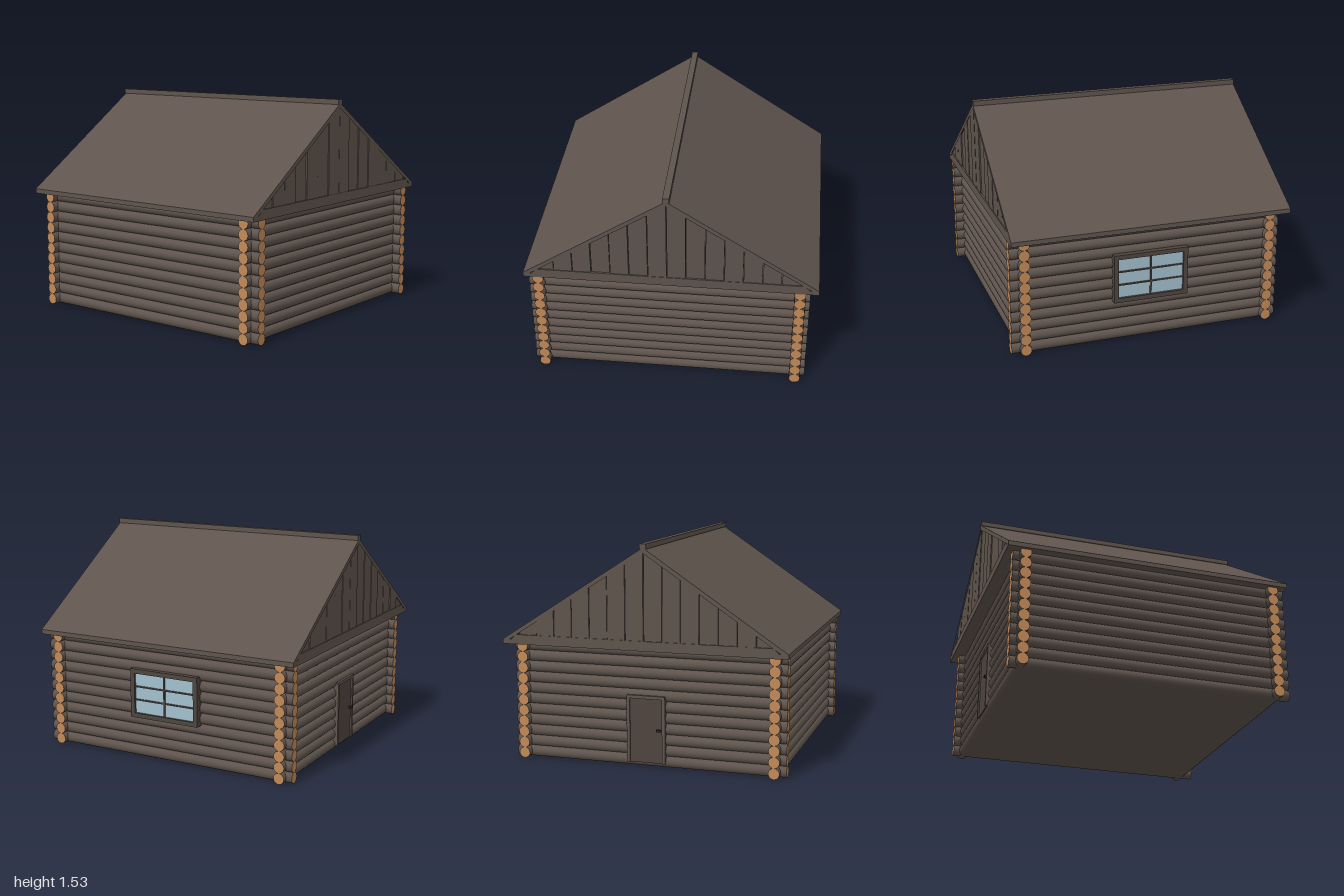
import * as THREE from 'three';

const mat = (name, color, opts = {}) => new THREE.MeshStandardMaterial({ name, color, ...opts });

// Extrudes a [z, y] outline along x from x0 to x1
function extrudeX(points, x0, x1, hole) {
  const toV = ([z, y]) => new THREE.Vector2(-z, y);
  const shape = new THREE.Shape(points.map(toV));
  if (hole) shape.holes.push(new THREE.Path(hole.map(toV)));
  const g = new THREE.ExtrudeGeometry(shape, { depth: x1 - x0, bevelEnabled: false });
  return g.rotateY(Math.PI / 2).translate(x0, 0, 0);
}

export function createModel() {
  const wood = mat('dark wood', 0x5f544d);
  const endGrain = mat('cut log end', 0xc28a58);
  const trim = mat('trim', 0x4f453f);
  const glass = mat('glass', 0xa2c0ce);
  const metal = mat('handle', 0x2c2826);

  const model = new THREE.Group();
  model.name = 'logCabin';
  const add = (parent, name, geometry, material) => {
    const m = new THREE.Mesh(geometry, material);
    m.name = name;
    parent.add(m);
    return m;
  };
  const box = (parent, name, material, w, h, d, x, y, z) =>
    add(parent, name, new THREE.BoxGeometry(w, h, d).translate(x, y, z), material);
  const group = (name) => {
    const g = new THREE.Group();
    g.name = name;
    model.add(g);
    return g;
  };

  // Log walls, crossing at the corners
  const X0 = -0.865, X1 = 0.892, Z0 = -0.876, Z1 = 0.902;
  const R = 0.0385, STEP = 0.0755, ROWS = 11;
  const logX = new THREE.CylinderGeometry(R, R, 1.93, 16).rotateZ(Math.PI / 2);
  const logZ = new THREE.CylinderGeometry(R, R, 1.924, 16).rotateX(Math.PI / 2);
  const logMats = [wood, endGrain, endGrain];
  const walls = group('logWalls');
  for (let i = 0; i < ROWS; i++) {
    const y = 0.039 + i * STEP;
    add(walls, 'frontLog', logX, logMats).position.set(0.02, y, Z1);
    add(walls, 'backLog', logX, logMats).position.set(0.02, y, Z0);
    add(walls, 'leftLog', logZ, logMats).position.set(X1, y, 0.016);
    add(walls, 'rightLog', logZ, logMats).position.set(X0, y, 0.016);
  }

  // Floor
  box(model, 'floor', wood, X1 - X0, 0.03, Z1 - Z0, (X0 + X1) / 2, 0.017, (Z0 + Z1) / 2);

  // Roof: two slopes, eaves and soffit in one hollow section, with a ridge board
  const RIDGE = 0.02, TOP = 1.5, EAVE = 0.845, BASE = 0.813;
  const roof = group('roof');
  const inner = [[0.95, EAVE], [RIDGE, TOP - 0.035], [-0.95, EAVE]];
  add(roof, 'roofShell', extrudeX(
    [[1, BASE], [1, EAVE], [RIDGE, TOP], [-1, EAVE], [-1, BASE]], -0.99, 0.99, inner), wood);
  box(roof, 'ridgeBoard', wood, 1.98, 0.035, 0.045, 0, 1.508, RIDGE);

  // Gable planks with slightly uneven depth over a bottom board
  const roofY = (z) => TOP - 0.02 -
    (z > RIDGE ? (z - RIDGE) / (1 - RIDGE) : (RIDGE - z) / (1 + RIDGE)) * (TOP - EAVE);
  let seed = 7;
  const rand = () => (seed = (seed * 16807) % 2147483647) / 2147483647;
  const gables = group('gables');
  const W = 0.128;
  for (const side of [-1, 1]) {
    const span = (depth) => (side > 0 ? [0.95, depth] : [-depth, -0.95]);
    add(gables, 'gableBoard', extrudeX(
      [[0.95, EAVE - 0.01], [0.9, 0.88], [-0.9, 0.88], [-0.95, EAVE - 0.01]], ...span(0.989)), wood);
    for (let i = 0; i < 14; i++) {
      const a = Math.min(0.93, 0.913 - i * W), b = Math.max(-0.91, a - W + 0.004);
      if (a <= b) continue;
      const pts = [[a, 0.86], [a, roofY(a)]];
      if (a > RIDGE && b < RIDGE) pts.push([RIDGE, roofY(RIDGE)]);
      pts.push([b, roofY(b)], [b, 0.86]);
      add(gables, 'gablePlank', extrudeX(pts, ...span(0.975 + 0.012 * rand())), wood);
    }
  }

  // Back window: frame, glass and glazing bars
  const win = group('backWindow');
  const wx = 0.01, wy = 0.467, ww = 0.53, wh = 0.345, t = 0.032;
  for (const s of [-1, 1]) {
    box(win, 'windowSideFrame', trim, t, wh, 0.09, wx + s * (ww - t) / 2, wy, -0.907);
    box(win, 'windowCrossFrame', trim, ww - 2 * t, t, 0.09, wx, wy + s * (wh - t) / 2, -0.907);
    box(win, 'glazingRail', trim, ww - 2 * t, 0.01, 0.012, wx, wy + s * (wh - 2 * t) / 6, -0.937);
  }
  box(win, 'windowGlass', glass, ww - 2 * t, wh - 2 * t, 0.05, wx, wy, -0.91);
  box(win, 'glazingPost', trim, 0.012, wh - 2 * t, 0.012, wx, wy, -0.937);

  // Door in the right wall
  const door = group('door');
  const dz = 0.01, dw = 0.27, dh = 0.455, dy = 0.03;
  box(door, 'doorPanel', trim, 0.05, dh, dw, -0.885, dy + dh / 2, dz);
  for (const s of [-1, 1])
    box(door, 'doorPost', wood, 0.06, dh, 0.022, -0.89, dy + dh / 2, dz + s * (dw / 2 - 0.01));
  box(door, 'doorLintel', wood, 0.06, 0.022, dw, -0.89, dy + dh, dz);
  box(door, 'doorHandle', metal, 0.02, 0.015, 0.03, -0.918, 0.26, dz + 0.09);

  return model;
}
